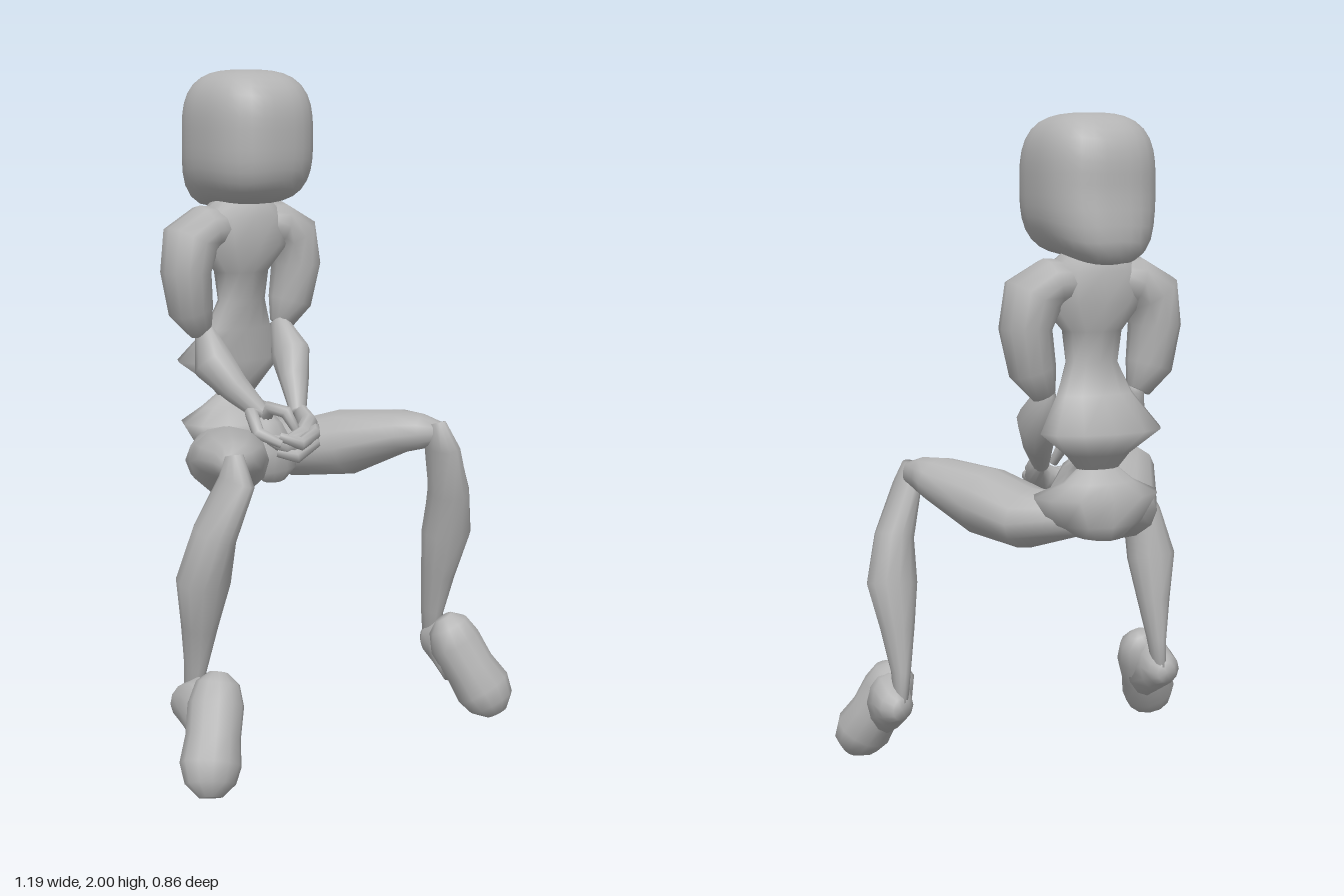
import * as THREE from 'three';
import { mergeVertices } from 'three/addons/utils/BufferGeometryUtils.js';

const V = (a) => new THREE.Vector3(a[0], a[1], a[2]);

// Smooth-shaded closed skin over elliptical rings: each section is [x, y, z, halfWidth, halfDepth].
// Rings face along the path, or along `axis` when one is given; `side` is the direction of halfWidth.
function loft(sections, side, axis = null, n = 10) {
  const pos = [], idx = [], count = sections.length;
  sections.forEach((s, i) => {
    const t = axis ? V(axis) : V(sections[Math.min(i + 1, count - 1)]).sub(V(sections[Math.max(i - 1, 0)]));
    t.normalize();
    const u = V(side).addScaledVector(t, -V(side).dot(t)).normalize();
    const v = t.clone().cross(u);
    for (let j = 0; j < n; j++) {
      const a = (j / n) * Math.PI * 2;
      const p = V(s).addScaledVector(u, Math.cos(a) * s[3]).addScaledVector(v, Math.sin(a) * s[4]);
      pos.push(p.x, p.y, p.z);
    }
  });
  const first = count * n, last = first + 1;
  pos.push(...sections[0].slice(0, 3), ...sections[count - 1].slice(0, 3));
  for (let j = 0; j < n; j++) {
    const k = (j + 1) % n, end = (count - 1) * n;
    for (let i = 0; i < count - 1; i++) {
      const a = i * n + j, b = i * n + k;
      idx.push(a, b, b + n, a, b + n, a + n);
    }
    idx.push(first, k, j, last, end + j, end + k);
  }
  const g = new THREE.BufferGeometry();
  g.setAttribute('position', new THREE.Float32BufferAttribute(pos, 3));
  g.setIndex(idx);
  g.computeVertexNormals();
  return g;
}

// Rounded block head: round in plan, squarer in height, with the lower back corner drawn out
function headGeometry() {
  let g = new THREE.SphereGeometry(1, 32, 22);
  g.deleteAttribute('uv');
  g.deleteAttribute('normal');
  g = mergeVertices(g, 1e-4);
  const p = g.attributes.position;
  for (let i = 0; i < p.count; i++) {
    const v = new THREE.Vector3().fromBufferAttribute(p, i);
    const plan = (Math.abs(v.x) ** 2.7 + Math.abs(v.z) ** 2.7) ** (1 / 2.7);
    v.multiplyScalar((plan ** 3.1 + Math.abs(v.y) ** 3.1) ** (-1 / 3.1));
    const corner = (Math.max(0, -v.y) * Math.max(0, -v.z)) ** 2 * 0.55;
    p.setXYZ(i, v.x * 0.173, (v.y - corner) * 0.2 + 1.8, (v.z - corner * 0.75) * 0.203 - 0.215);
  }
  g.computeVertexNormals();
  return g;
}

export function createModel() {
  const model = new THREE.Group();
  const grey = new THREE.MeshStandardMaterial({ color: 0xb4b4b4 });
  grey.name = 'plainGrey';
  const add = (name, geometry) => {
    const m = new THREE.Mesh(geometry, grey);
    m.name = name;
    model.add(m);
  };

  add('head', headGeometry());

  // Trunk: broad shoulders, thin waist, flared abdomen
  add('torso', loft([
    [0, 0.98, -0.29, 0.05, 0.03],
    [0, 1.04, -0.29, 0.1, 0.065],
    [0, 1.11, -0.315, 0.19, 0.1],
    [0, 1.21, -0.27, 0.12, 0.055],
    [0, 1.3, -0.25, 0.08, 0.055],
    [0, 1.39, -0.25, 0.09, 0.07],
    [0, 1.47, -0.245, 0.16, 0.1],
    [0, 1.56, -0.25, 0.16, 0.085],
    [0, 1.61, -0.25, 0.09, 0.07],
  ], [1, 0, 0], [0, 1, 0], 12));

  // Pelvis: narrow at the top, wide at the seat, tapering underneath
  add('pelvis', loft([
    [0, 0.8, -0.28, 0.07, 0.1],
    [0, 0.84, -0.27, 0.14, 0.125],
    [0, 0.92, -0.28, 0.195, 0.12],
    [0, 0.96, -0.3, 0.11, 0.065],
    [0, 1.01, -0.29, 0.05, 0.03],
  ], [1, 0, 0], [0, 1, 0], 12));

  // Paired limbs, the model's left being +x
  const limbs = {
    UpperArm: [[0, 0, 1], [
      [0.05, 1.53, -0.25, 0.07, 0.06],
      [0.13, 1.525, -0.25, 0.085, 0.075],
      [0.185, 1.49, -0.25, 0.09, 0.088],
      [0.205, 1.4, -0.245, 0.09, 0.073],
      [0.185, 1.28, -0.25, 0.072, 0.068],
      [0.15, 1.21, -0.25, 0.04, 0.035],
    ]],
    Forearm: [[1, 0, 0], [
      [0.14, 1.22, -0.25, 0.025, 0.035],
      [0.145, 1.12, -0.19, 0.057, 0.075],
      [0.11, 1.05, -0.12, 0.045, 0.048],
      [0.06, 0.97, -0.03, 0.025, 0.025],
    ]],
    Thigh: [[0.87, 0, -0.5], [
      [0.06, 0.86, -0.28, 0.07, 0.06],
      [0.14, 0.832, -0.13, 0.125, 0.09],
      [0.22, 0.865, 0.01, 0.118, 0.103],
      [0.315, 0.915, 0.165, 0.1, 0.066],
      [0.345, 0.92, 0.22, 0.06, 0.055],
      [0.38, 0.92, 0.26, 0.03, 0.035],
    ]],
    Shin: [[1, 0, 0], [
      [0.37, 0.95, 0.26, 0.025, 0.03],
      [0.375, 0.88, 0.28, 0.04, 0.07],
      [0.43, 0.73, 0.25, 0.06, 0.073],
      [0.45, 0.59, 0.22, 0.08, 0.073],
      [0.445, 0.45, 0.19, 0.052, 0.058],
      [0.445, 0.32, 0.165, 0.028, 0.045],
      [0.45, 0.23, 0.155, 0.02, 0.035],
    ]],
    Heel: [[1, 0, 0], [
      [0.46, 0.215, 0.12, 0.03, 0.035],
      [0.465, 0.215, 0.15, 0.055, 0.055],
      [0.465, 0.22, 0.2, 0.062, 0.085],
      [0.46, 0.2, 0.28, 0.07, 0.105],
    ]],
    Foot: [[1, 0.4, 0], [
      [0.42, 0.32, 0.25, 0.03, 0.025],
      [0.43, 0.295, 0.26, 0.065, 0.058],
      [0.447, 0.24, 0.275, 0.083, 0.077],
      [0.48, 0.16, 0.31, 0.08, 0.077],
      [0.51, 0.095, 0.342, 0.09, 0.084],
      [0.526, 0.05, 0.365, 0.075, 0.067],
      [0.535, 0.018, 0.38, 0.035, 0.033],
    ]],
  };
  for (const [part, [side, sections]] of Object.entries(limbs)) {
    for (const [prefix, s] of [['left', 1], ['right', -1]]) {
      add(prefix + part, loft(
        sections.map(([x, ...rest]) => [x * s, ...rest]),
        [side[0] * s, side[1], side[2]], null, 12));
    }
  }

  // Clasped hands, resting between the thighs
  add('leftHand', loft([
    [0.07, 0.98, -0.04, 0.022, 0.02],
    [0.06, 0.94, 0.02, 0.045, 0.03],
    [0.01, 0.91, 0.07, 0.045, 0.035],
    [-0.06, 0.9, 0.07, 0.03, 0.025],
    [-0.1, 0.92, 0.04, 0.015, 0.015],
  ], [0, 1, 0]));
  add('rightHand', loft([
    [-0.06, 0.98, -0.04, 0.025, 0.02],
    [-0.08, 0.95, 0.0, 0.055, 0.035],
    [-0.065, 0.88, 0.02, 0.07, 0.04],
    [-0.06, 0.82, 0.02, 0.075, 0.03],
    [-0.06, 0.785, 0.01, 0.04, 0.02],
  ], [1, 0, 0]));

  // Fingers and thumbs as bent tapered tubes
  const fingers = [
    [[0.07, 0.95, 0.01], [0.03, 0.9, 0.09], [-0.04, 0.87, 0.1], [-0.08, 0.88, 0.06]],
    [[0.08, 0.93, 0.02], [0.03, 0.93, 0.09], [-0.03, 0.91, 0.11], [-0.08, 0.93, 0.07]],
    [[-0.07, 0.97, -0.02], [-0.12, 0.99, -0.02], [-0.13, 0.94, 0.03], [-0.08, 0.91, 0.08]],
    [[-0.08, 0.96, -0.01], [-0.08, 1.01, 0.02], [-0.05, 1.0, 0.06], [-0.03, 0.95, 0.08]],
  ];
  const radii = [0.02, 0.022, 0.021, 0.014];
  fingers.forEach((path, i) => {
    add('finger' + (i + 1), loft(path.map((p, k) => [...p, radii[k], radii[k]]), [0.2, 1, 0.3], null, 8));
  });

  return model;
}
